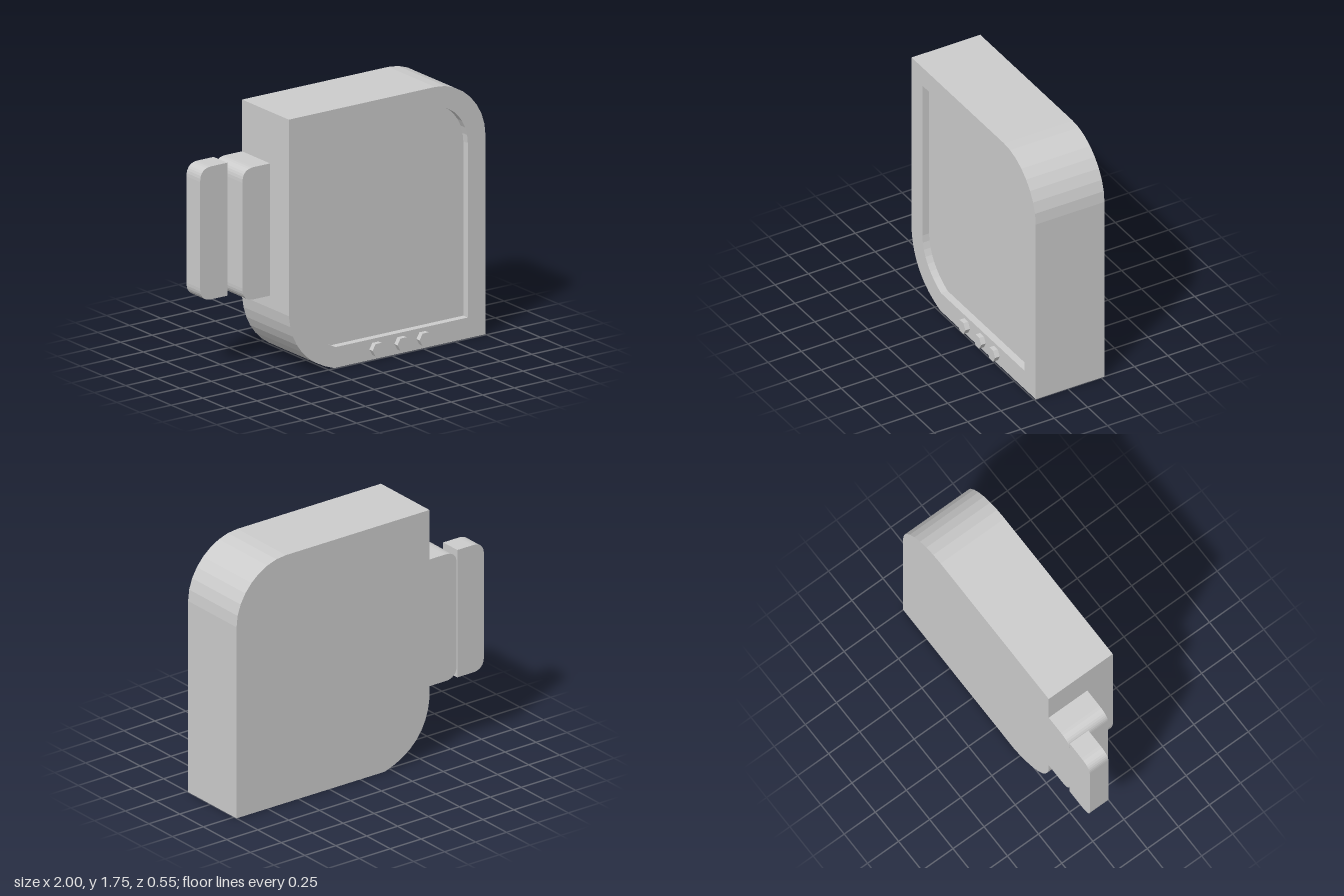
import * as THREE from 'three';

const material = new THREE.MeshStandardMaterial({ color: 0xcccccc, flatShading: true });
const BACK = -0.275, FRONT = 0.24, RECESS = 0.05;

// Panel outline with a rounded upper right and lower left corner
function trace(path, [x0, y0, x1, y1], [tx, ty], [bx, by], bottomControl) {
  path.moveTo(bx, y0);
  path.lineTo(x1, y0);
  path.lineTo(x1, ty);
  path.bezierCurveTo(x1, ty + (y1 - ty) * 0.53, tx + (x1 - tx) * 0.53, y1, tx, y1);
  path.lineTo(x0, y1);
  path.lineTo(x0, by);
  path.quadraticCurveTo(...bottomControl, bx, y0);
  return path;
}

const outer = (path) => trace(path, [-0.56, 0, 1, 1.75], [0.6, 1.35], [-0.2, 0.0 + 0.42], [-0.53, 0.1]);
const inner = (path) => trace(path, [-0.425, 0.14, 0.86, 1.61], [0.6, 1.32], [-0.19, 0.45], [-0.41, 0.24]);

function slab(name, shape, z0, z1) {
  const geometry = new THREE.ExtrudeGeometry(shape, { depth: z1 - z0, bevelEnabled: false, curveSegments: 8 });
  const mesh = new THREE.Mesh(geometry, material);
  mesh.name = name;
  mesh.position.z = z0;
  return mesh;
}

// Side panel with its two left corners rounded
function sidePanel(x0, x1, y0, y1, r) {
  const s = new THREE.Shape();
  s.moveTo(x0 + r, y0);
  s.lineTo(x1, y0);
  s.lineTo(x1, y1);
  s.lineTo(x0 + r, y1);
  s.quadraticCurveTo(x0, y1, x0, y1 - r);
  s.lineTo(x0, y0 + r);
  s.quadraticCurveTo(x0, y0, x0 + r, y0);
  return s;
}

export function createModel() {
  const model = new THREE.Group();
  model.name = 'screenUnit';

  // Solid housing and the raised frame around the screen
  model.add(slab('housing', outer(new THREE.Shape()), BACK, FRONT - RECESS));
  const frame = outer(new THREE.Shape());
  frame.holes.push(inner(new THREE.Path()));
  model.add(slab('screenFrame', frame, FRONT - RECESS, FRONT));

  // Two stepped panels on the side
  model.add(slab('innerSidePanel', sidePanel(-0.78, -0.56, 0.505, 1.4, 0.09), BACK, 0.035));
  model.add(slab('outerSidePanel', sidePanel(-1, -0.785, 0.505, 1.405, 0.09), BACK, -0.125));

  // Hexagonal buttons below the screen
  for (const x of [0.127, 0.325, 0.5]) {
    const geometry = new THREE.CylinderGeometry(0.048, 0.048, 0.035, 6);
    geometry.rotateY(Math.PI / 2).rotateX(Math.PI / 2);
    const button = new THREE.Mesh(geometry, material);
    button.name = 'button';
    button.position.set(x, 0.072, FRONT + 0.0175);
    model.add(button);
  }
  return model;
}
